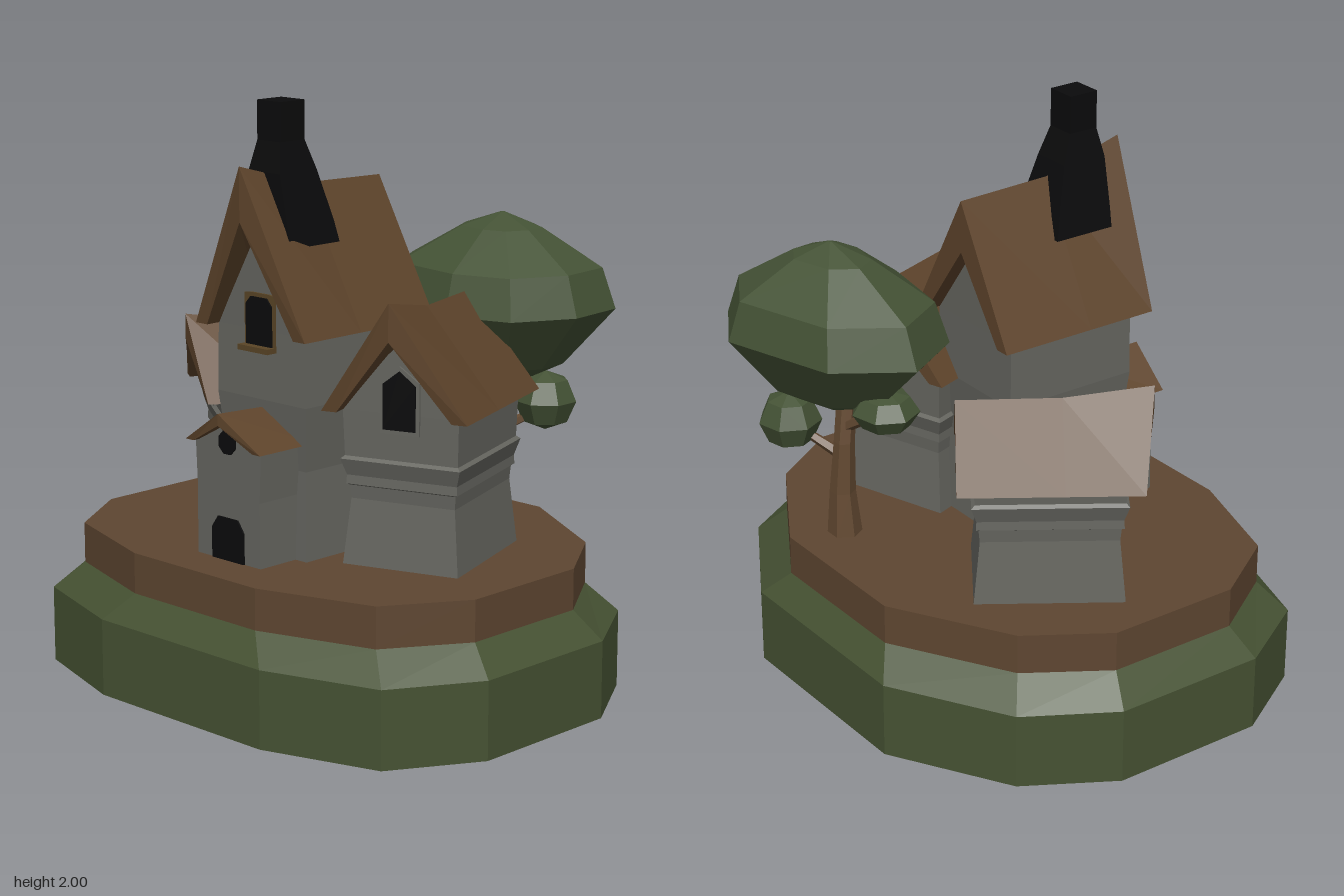
import * as THREE from 'three';

const mat = (name, color) => Object.assign(new THREE.MeshStandardMaterial({ color, flatShading: true }), { name });
const V = (x, y, z) => new THREE.Vector3(x, y, z);

// Skin a list of rings (counter-clockwise about the direction of travel) and cap both ends
function loft(rings) {
  const pos = [], n = rings[0].length, last = rings[rings.length - 1];
  const tri = (...p) => p.forEach(v => pos.push(v.x, v.y, v.z));
  for (let i = 0; i + 1 < rings.length; i++) {
    for (let j = 0; j < n; j++) {
      const k = (j + 1) % n, a = rings[i][j], b = rings[i][k], c = rings[i + 1][k], d = rings[i + 1][j];
      tri(a, b, c);
      tri(a, c, d);
    }
  }
  for (let j = 1; j + 1 < n; j++) {
    tri(rings[0][0], rings[0][j + 1], rings[0][j]);
    tri(last[0], last[j], last[j + 1]);
  }
  const g = new THREE.BufferGeometry();
  g.setAttribute('position', new THREE.Float32BufferAttribute(pos, 3));
  g.computeVertexNormals();
  return g;
}
const flatRing = (pts, y) => pts.map(([x, z]) => V(x, y, z));
const rect = (hx, z0, z1) => [[hx, z1], [hx, z0], [-hx, z0], [-hx, z1]];

export function createModel() {
  const model = new THREE.Group();
  const grass = mat('grass green', 0x465233), earth = mat('earth brown', 0x5e4631);
  const stone = mat('wall grey', 0x666660), roofMat = mat('roof brown', 0x5e442b);
  const black = mat('soot black', 0x0b0b0c), leaf = mat('leaf green', 0x445235);
  const trim = mat('frame brown', 0x5a4526), bark = mat('bark brown', 0x644a32);

  const add = (parent, name, geometry, material) => {
    const m = new THREE.Mesh(geometry, material);
    m.name = name;
    parent.add(m);
    return m;
  };
  const group = (name, x = 0, z = 0, turn = 0) => {
    const g = new THREE.Group();
    g.name = name;
    g.position.set(x, 0, z);
    g.rotation.y = turn;
    model.add(g);
    return g;
  };

  // Stepped island
  const mirrored = half => [...half, ...half.map(([x, z]) => [-x, z]).reverse()];
  const outer = mirrored([[0.38, 0.81], [0.79, 0.68], [0.967, 0.38], [0.967, -0.18], [0.79, -0.48], [0.38, -0.72]]);
  const inner = mirrored([[0.29, 0.74], [0.7, 0.61], [0.873, 0.34], [0.873, -0.14], [0.7, -0.41], [0.29, -0.65]]);
  add(model, 'grassBase', loft([flatRing(outer, 0), flatRing(outer, 0.265), flatRing(inner, 0.36)]), grass);
  add(model, 'earthTerrace', loft([flatRing(inner, 0.36), flatRing(inner, 0.5)]), earth);

  // Two sloping slabs; stations are [z, drop of the ridge]
  function roof(parent, halfW, innerW, eave, apex, under, stations) {
    for (const s of [1, -1]) {
      const rings = stations.map(([zEave, zRidge, drop]) => {
        const r = [V(0, under - drop, zRidge), V(s * innerW, eave, zEave), V(s * halfW, eave, zEave), V(0, apex - drop, zRidge)];
        return s > 0 ? r : r.reverse();
      });
      add(parent, s > 0 ? 'roofLeft' : 'roofRight', loft(rings), roofMat);
    }
  }
  // Thin plate with a clipped or peaked top
  function plate(parent, name, w, y0, y1, z, material, cut, peak = false) {
    const h = w / 2, top = peak ? 0 : h * 0.62;
    const s = new THREE.Shape();
    s.moveTo(-h, y0);
    s.lineTo(h, y0);
    s.lineTo(h, y1 - cut);
    s.lineTo(top, y1);
    if (!peak) s.lineTo(-top, y1);
    s.lineTo(-h, y1 - cut);
    const g = new THREE.ExtrudeGeometry(s, { depth: 0.008, bevelEnabled: false });
    add(parent, name, g, material).position.z = z;
  }

  // House: flared walls, gable and sagging roof
  function house(name, x, z, turn, eave, h, profile) {
    const g = group(name, x, z, turn);
    const walls = [...profile, [eave, 0.205]];
    add(g, 'walls', loft(walls.map(([y, w]) => flatRing(rect(w, -w - 0.045, w + 0.045), y))), stone);
    const gable = (zz, k) => [V(-0.205, eave, zz), V(0.205, eave, zz), V(0, eave + h * k, zz)];
    add(g, 'gable', loft([gable(-0.25, 0.54), gable(0.25, 0.65)]), stone);
    roof(g, 0.257, 0.203, eave, eave + h, eave + h * 0.67,
      [[-0.305, -0.305, h * 0.165], [0.045, 0.045, h * 0.15], [0.305, 0.345, 0]]);
    return g;
  }
  const wingProfile = [[0.5, 0.205], [0.72, 0.184], [0.765, 0.188], [0.77, 0.197], [0.8, 0.195], [0.855, 0.212], [0.865, 0.2]];
  const left = house('leftWing', 0.404, 0.038, 0.328, 1.02, 0.38, wingProfile);
  const right = house('rightWing', -0.425, -0.085, -0.6, 0.92, 0.27, wingProfile);
  const tower = house('tower', 0, 0.175, 0, 1.25, 0.55, [[0.5, 0.2], [0.8, 0.186], [1.02, 0.208]]);

  // Windows
  plate(left, 'windowFrame', 0.14, 0.955, 1.18, 0.25, stone, 0.05, true);
  plate(left, 'window', 0.115, 0.97, 1.165, 0.256, black, 0.045, true);
  plate(right, 'windowFrame', 0.14, 0.87, 1.035, 0.25, stone, 0.035, true);
  plate(right, 'window', 0.115, 0.883, 1.02, 0.256, black, 0.025, true);
  plate(tower, 'windowFrame', 0.14, 1.19, 1.375, 0.251, trim, 0.004);
  plate(tower, 'window', 0.12, 1.2, 1.362, 0.256, black, 0.025);
  add(tower, 'windowSill', new THREE.BoxGeometry(0.14, 0.018, 0.045), trim).position.set(0, 1.193, 0.27);

  // Porch with door and small round window
  const porch = group('porch');
  add(porch, 'porchWalls', loft([[0.5, 0.15], [0.72, 0.147], [0.89, 0.155]].map(([y, w]) => flatRing(rect(w, 0.36, 0.58), y))), stone);
  const porchGable = z => [V(-0.155, 0.89, z), V(0.155, 0.89, z), V(0, 0.975, z)];
  add(porch, 'porchGable', loft([porchGable(0.36), porchGable(0.58)]), stone);
  roof(porch, 0.177, 0.14, 0.888, 1.003, 0.963, [[0.36, 0.36, 0.012], [0.605, 0.625, 0]]);
  plate(porch, 'door', 0.15, 0.5, 0.645, 0.578, black, 0.04);
  const round = add(porch, 'roundWindow', new THREE.CylinderGeometry(0.042, 0.042, 0.009, 8), black);
  round.rotation.set(Math.PI / 2, Math.PI / 8, 0);
  round.position.set(0, 0.9, 0.582);

  // Chimney flaring over the ridge
  add(model, 'chimney', loft([[1.53, 0.118, 0.18, 0.408], [1.6, 0.107, 0.195, 0.408], [1.77, 0.073, 0.24, 0.408],
    [1.87, 0.054, 0.277, 0.386], [2, 0.054, 0.277, 0.386]].map(([y, w, z0, z1]) => flatRing(rect(w, z0, z1), y))), black);

  // Tree: leaning trunk, two branches, broad crown and two tufts
  const tree = group('tree');
  const hexRing = (x, y, z, r) => Array.from({ length: 6 }, (_, i) =>
    V(x + r * Math.cos(i * Math.PI / 3), y, z - r * Math.sin(i * Math.PI / 3)));
  add(tree, 'trunk', loft([hexRing(0.22, 0.5, -0.47, 0.06), hexRing(0.22, 0.66, -0.475, 0.045),
    hexRing(0.21, 0.85, -0.47, 0.036), hexRing(0.22, 1.1, -0.44, 0.034)]), bark);
  const branch = (a, b) => {
    const m = add(tree, 'branch', new THREE.CylinderGeometry(0.014, 0.022, a.distanceTo(b), 5), bark);
    m.position.copy(a).lerp(b, 0.5);
    m.quaternion.setFromUnitVectors(V(0, 1, 0), b.clone().sub(a).normalize());
  };
  const tuft = (x, y, z, sx, sy, sz) => {
    const m = add(tree, 'leafTuft', new THREE.SphereGeometry(1, 7, 4), leaf);
    m.position.set(x, y, z);
    m.scale.set(sx, sy, sz);
  };
  branch(V(0.215, 0.79, -0.47), V(0.36, 0.88, -0.57));
  branch(V(0.215, 0.9, -0.465), V(0.02, 1.02, -0.44));
  tuft(0.36, 0.91, -0.59, 0.11, 0.105, 0.11);
  tuft(0.0, 1.04, -0.44, 0.12, 0.075, 0.115);
  const crown = [[0.27, -0.17], [0.5, -0.24], [0.61, -0.45], [0.59, -0.68], [0.37, -0.81], [-0.03, -0.68], [-0.19, -0.44], [-0.06, -0.22]];
  const crownRing = ([y, k]) => flatRing(crown.map(([x, z]) => [0.25 + (x - 0.25) * k, -0.48 + (z + 0.48) * k]), y);
  add(tree, 'crown', loft([[1.0, 0.28], [1.05, 0.55], [1.25, 1], [1.39, 0.88], [1.52, 0.35], [1.57, 0.02]].map(crownRing)), leaf);

  return model;
}
